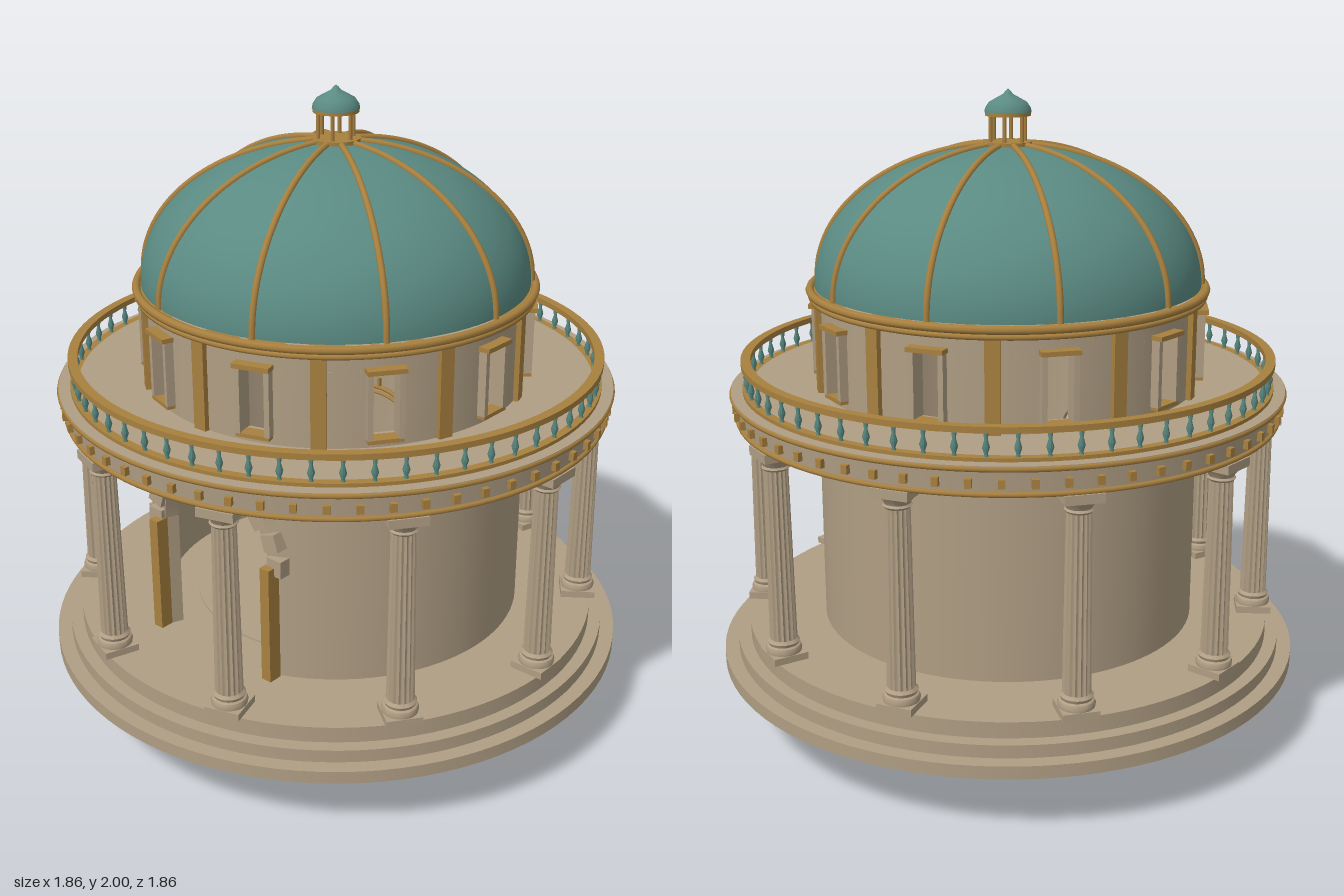
import * as THREE from 'three';
import { toCreasedNormals } from 'three/addons/utils/BufferGeometryUtils.js';

const paint = (name, color, side = THREE.FrontSide) => {
  const m = new THREE.MeshStandardMaterial({ color, side });
  m.name = name;
  return m;
};

export function createModel() {
  const stone = paint('warm stone', 0xb09e84);
  const teal = paint('verdigris', 0x5a8a82, THREE.DoubleSide);
  const gold = paint('old gold', 0xa8803f);
  const slate = paint('dark slate', 0x3a424c);
  const black = paint('black', 0x1c1c1e);
  const model = new THREE.Group();
  const TAU = Math.PI * 2, deg = Math.PI / 180;

  const add = (parent, name, geo, mat, x = 0, y = 0, z = 0) => {
    const m = new THREE.Mesh(geo, mat);
    m.name = name;
    m.position.set(x, y, z);
    parent.add(m);
    return m;
  };
  const group = (name, parent = model) => {
    const g = new THREE.Group();
    g.name = name;
    parent.add(g);
    return g;
  };
  const turned = (pts, seg = 96) => toCreasedNormals(
    new THREE.LatheGeometry(pts.map(p => new THREE.Vector2(p[0], p[1])), seg), 0.6);
  const box = (w, h, d) => new THREE.BoxGeometry(w, h, d);
  const ring = (r, t, seg = 96) => new THREE.TorusGeometry(r, t, 8, seg).rotateX(Math.PI / 2);
  // Places a copy at an angle measured from the front, facing outward
  const around = (n, offset, fn) => {
    for (let i = 0; i < n; i++) fn(offset + i * TAU / n, i);
  };
  const polar = (obj, r, a, y = 0) => {
    obj.position.set(r * Math.sin(a), y, r * Math.cos(a));
    obj.rotation.y = a;
  };
  // Curved wall between two angles, with a lower edge given by a rule
  const curvedWall = (r0, r1, a0, a1, n, bottom, top) => {
    const v = [];
    const p = (r, a, y) => [r * Math.sin(a), y, r * Math.cos(a)];
    const quad = (a, b, c, d) => v.push(...a, ...b, ...c, ...a, ...c, ...d);
    for (let i = 0; i < n; i++) {
      const s = a0 + (a1 - a0) * i / n, e = a0 + (a1 - a0) * (i + 1) / n;
      const ys = bottom(s), ye = bottom(e);
      quad(p(r1, s, ys), p(r1, e, ye), p(r1, e, top), p(r1, s, top));
      quad(p(r0, e, ye), p(r0, s, ys), p(r0, s, top), p(r0, e, top));
      quad(p(r1, s, top), p(r1, e, top), p(r0, e, top), p(r0, s, top));
      quad(p(r0, s, ys), p(r0, e, ye), p(r1, e, ye), p(r1, s, ys));
    }
    const b0 = bottom(a0), b1 = bottom(a1);
    quad(p(r0, a0, b0), p(r1, a0, b0), p(r1, a0, top), p(r0, a0, top));
    quad(p(r1, a1, b1), p(r0, a1, b1), p(r0, a1, top), p(r1, a1, top));
    const g = new THREE.BufferGeometry();
    g.setAttribute('position', new THREE.Float32BufferAttribute(v, 3));
    return toCreasedNormals(g, 0.5);
  };

  // Stepped base and inner floor disc
  add(model, 'steps', turned([[0, 0.2], [0.93, 0.2], [0.93, 0.24], [0.885, 0.24], [0.885, 0.28],
    [0.845, 0.28], [0.845, 0.33], [0, 0.33]]), stone);
  add(model, 'innerFloor', turned([[0.46, 0.33], [0.46, 0.335], [0, 0.335]]), stone);

  // Shaft below the floor, open at the bottom, with a railing above
  const shaft = group('stairShaft');
  shaft.position.set(0.305, 0, -0.06);
  for (const s of [-1, 1]) {
    add(shaft, 'shaftSideWall', box(0.02, 0.2, 0.34), slate, s * 0.125, 0.1, 0);
    add(shaft, 'shaftEndWall', box(0.23, 0.2, 0.02), slate, 0, 0.1, s * 0.16);
    add(shaft, 'shaftRail', box(0.012, 0.012, 0.34), gold, s * 0.12, 0.48, 0);
    for (let i = 0; i < 5; i++)
      add(shaft, 'shaftPost', box(0.012, 0.15, 0.012), teal, s * 0.12, 0.405, -0.16 + i * 0.08);
  }
  add(shaft, 'shaftCeiling', box(0.23, 0.02, 0.3), slate, 0, 0.15, 0);
  add(shaft, 'shaftHatch', box(0.23, 0.008, 0.32), slate, 0, 0.337, 0);

  // Round hall with an arched doorway
  const R = 0.6, doorR = 0.22, spring = 0.71, da = Math.asin(doorR / R);
  const hall = group('hall');
  add(hall, 'hallWall', curvedWall(0.555, R, da, TAU - da, 88, () => 0.33, 1.09), stone);
  add(hall, 'doorHead', curvedWall(0.555, R, -da, da, 32,
    a => spring + Math.sqrt(Math.max(0, doorR ** 2 - (R * Math.sin(a)) ** 2)), 1.09), stone);
  for (const s of [-1, 1])
    add(hall, 'doorPilaster', box(0.035, 0.38, 0.045), gold, s * 0.235, 0.52, 0.573);
  for (let i = 0; i < 11; i++) {
    const t = i / 10 * Math.PI, x = 0.25 * Math.cos(t), key = i === 5;
    const b = add(hall, key ? 'keystone' : 'archStone', box(key ? 0.07 : 0.055, key ? 0.085 : 0.055, 0.06), stone,
      x, spring + 0.25 * Math.sin(t), Math.sqrt(R * R - x * x) - 0.005);
    b.rotation.z = t - Math.PI / 2;
  }

  // Fluted columns
  const flutes = new THREE.CylinderGeometry(0.036, 0.042, 0.56, 96, 1, true);
  const fp = flutes.attributes.position;
  for (let i = 0; i < fp.count; i++) {
    const a = Math.atan2(fp.getX(i), fp.getZ(i));
    const k = 1 - 0.13 * Math.abs(Math.sin(a * 8));
    fp.setX(i, fp.getX(i) * k);
    fp.setZ(i, fp.getZ(i) * k);
  }
  const fluted = toCreasedNormals(flutes, 0.7);
  const foot = turned([[0.053, 0.35], [0.055, 0.362], [0.051, 0.372], [0.045, 0.376], [0.049, 0.386], [0.041, 0.395]], 32);
  const capital = turned([[0.036, 0.935], [0.042, 0.942], [0.037, 0.948], [0.04, 0.955], [0.055, 0.975]], 32);
  const plinth = box(0.11, 0.022, 0.11), abacus = box(0.115, 0.028, 0.115);
  around(10, 18 * deg, a => {
    const c = group('column');
    add(c, 'columnPlinth', plinth, stone, 0, 0.341, 0);
    add(c, 'columnFoot', foot, stone);
    add(c, 'columnShaft', fluted, stone, 0, 0.665, 0);
    add(c, 'columnCapital', capital, stone);
    add(c, 'columnAbacus', abacus, stone, 0, 0.987, 0);
    polar(c, 0.805, a);
  });

  // Entablature and walkway
  const deck = group('entablature');
  add(deck, 'deckRing', turned([[0.58, 1.0], [0.85, 1.0], [0.855, 1.07], [0.87, 1.08], [0.87, 1.092], [0.58, 1.092]]), stone);
  add(deck, 'lowerTrim', ring(0.852, 0.008), gold, 0, 1.006, 0);
  add(deck, 'upperTrim', ring(0.866, 0.009), gold, 0, 1.083, 0);
  const dentil = box(0.02, 0.026, 0.02);
  around(60, 3 * deg, a => polar(add(deck, 'dentil', dentil, gold), 0.858, a, 1.04));

  // Balustrade
  const rail = group('balustrade');
  add(rail, 'bottomRail', turned([[0.808, 1.09], [0.834, 1.09], [0.834, 1.103], [0.808, 1.103]]), gold);
  add(rail, 'topRail', turned([[0.806, 1.172], [0.836, 1.172], [0.836, 1.19], [0.806, 1.19], [0.806, 1.172]]), gold);
  const baluster = turned([[0.008, 1.1], [0.005, 1.11], [0.011, 1.128], [0.005, 1.15], [0.008, 1.175]], 10);
  around(60, 0, a => polar(add(rail, 'baluster', baluster, teal), 0.82, a));

  // Drum with ten windows and gilded pilasters
  const drum = group('drum');
  add(drum, 'drumSill', turned([[0.55, 1.08], [0.59, 1.08], [0.59, 1.12], [0.55, 1.12]]), stone);
  add(drum, 'drumHead', turned([[0.55, 1.325], [0.59, 1.325], [0.59, 1.4], [0.55, 1.4], [0.55, 1.325]]), stone);
  const wa = 0.042 / 0.59;
  const pier = curvedWall(0.55, 0.59, -18 * deg + wa, 18 * deg - wa, 10, () => 1.12, 1.325);
  const jamb = box(0.016, 0.2, 0.055), lintel = box(0.115, 0.014, 0.05), sill = box(0.105, 0.012, 0.045);
  around(10, 0, a => {
    add(drum, 'drumPier', pier, stone).rotation.y = a;
    polar(add(drum, 'drumPilaster', box(0.045, 0.28, 0.025), gold), 0.593, a, 1.232);
    const w = group('window', drum);
    for (const s of [-1, 1]) add(w, 'windowJamb', jamb, stone, s * 0.046, 1.222, 0);
    add(w, 'windowLintel', lintel, gold, 0, 1.33, 0.012);
    add(w, 'windowSill', sill, gold, 0, 1.118, 0.005);
    polar(w, 0.587, a + 18 * deg);
  });

  // Dome, its base rings and ribs
  const dome = group('dome');
  add(dome, 'domeCornice', turned([[0.55, 1.372], [0.608, 1.372], [0.612, 1.4], [0.55, 1.4]]), gold);
  add(dome, 'lowerDomeRing', ring(0.612, 0.009), gold, 0, 1.378, 0);
  add(dome, 'upperDomeRing', ring(0.615, 0.013), gold, 0, 1.399, 0);
  const shell = new THREE.SphereGeometry(0.6, 96, 32, 0, TAU, 0, Math.PI / 2);
  add(dome, 'domeShell', shell.scale(1, 0.425 / 0.6, 1), teal, 0, 1.41, 0);
  const arc = [];
  for (let i = 0; i <= 14; i++) {
    const t = i / 14 * 83 * deg;
    arc.push(new THREE.Vector3(0, 1.41 + 0.427 * Math.sin(t), 0.602 * Math.cos(t)));
  }
  const rib = new THREE.TubeGeometry(new THREE.CatmullRomCurve3(arc), 32, 0.01, 8);
  around(10, 18 * deg, a => { add(dome, 'domeRib', rib, gold).rotation.y = a; });

  // Lantern
  const lantern = group('lantern');
  add(lantern, 'lanternBase', turned([[0.075, 1.825], [0.075, 1.843], [0, 1.843]], 32), gold);
  const post = new THREE.CylinderGeometry(0.006, 0.006, 0.09, 8);
  around(6, 30 * deg, a => polar(add(lantern, 'lanternPost', post, gold), 0.056, a, 1.88));
  add(lantern, 'lanternPlate', turned([[0, 1.92], [0.07, 1.92], [0.07, 1.93], [0, 1.93]], 32), gold);
  add(lantern, 'lanternCap', turned([[0.072, 1.93], [0.07, 1.942], [0.058, 1.96], [0.035, 1.973],
    [0.015, 1.984], [0.008, 1.993], [0, 2]], 32), teal);

  // Pedestal
  const shrine = group('shrine');
  shrine.position.z = -0.08;
  add(shrine, 'pedestalFoot', turned([[0.15, 0.335], [0.155, 0.36], [0.135, 0.37], [0, 0.37]], 48), gold);
  add(shrine, 'pedestalDrum', turned([[0.135, 0.365], [0.135, 0.475]], 48), slate);
  add(shrine, 'pedestalTop', turned([[0.13, 0.472], [0.157, 0.48], [0.157, 0.495], [0, 0.495]], 48), gold);
  const stud = new THREE.OctahedronGeometry(0.014);
  around(12, 15 * deg, a => polar(add(shrine, 'pedestalStud', stud, gold), 0.133, a, 0.425));

  // Halo behind the statue
  const halo = group('halo', shrine);
  halo.position.set(0, 0.765, -0.14);
  add(halo, 'haloOuter', new THREE.TorusGeometry(0.198, 0.007, 8, 64), gold);
  add(halo, 'haloInner', new THREE.TorusGeometry(0.178, 0.005, 8, 64), gold);
  around(16, 0, a => {
    const ray = add(halo, 'haloRay', box(0.01, 0.04, 0.01), gold, 0.212 * Math.sin(a), 0.212 * Math.cos(a), 0);
    ray.rotation.z = -a;
  });

  // Seated cat statue
  const cat = group('catStatue', shrine);
  const sphere = new THREE.SphereGeometry(1, 24, 16);
  const ball = (name, mat, x, y, z, sx, sy, sz) => {
    const m = add(cat, name, sphere, mat, x, y, z);
    m.scale.set(sx, sy, sz);
    return m;
  };
  ball('body', teal, 0, 0.62, -0.01, 0.085, 0.13, 0.08);
  ball('chest', teal, 0, 0.69, 0.025, 0.075, 0.075, 0.06);
  ball('head', teal, 0, 0.815, 0.04, 0.085, 0.07, 0.07);
  ball('muzzle', teal, 0, 0.79, 0.095, 0.045, 0.028, 0.03);
  ball('nose', black, 0, 0.807, 0.122, 0.012, 0.008, 0.008);
  ball('mouth', black, 0, 0.775, 0.112, 0.04, 0.004, 0.012);
  add(cat, 'collar', ring(0.062, 0.007, 32), gold, 0, 0.745, 0.03);
  ball('medallion', gold, 0, 0.705, 0.086, 0.017, 0.017, 0.008);
  for (const s of [-1, 1]) {
    ball('haunch', teal, s * 0.09, 0.56, -0.01, 0.05, 0.065, 0.075);
    ball('frontLeg', teal, s * 0.045, 0.6, 0.06, 0.03, 0.1, 0.03);
    ball('paw', teal, s * 0.05, 0.518, 0.085, 0.034, 0.024, 0.04);
    ball('eye', gold, s * 0.037, 0.835, 0.098, 0.02, 0.011, 0.01);
    ball('pupil', black, s * 0.037, 0.835, 0.107, 0.004, 0.009, 0.003);
    const ear = add(cat, 'ear', new THREE.ConeGeometry(0.03, 0.08, 12), teal, s * 0.066, 0.885, 0.03);
    ear.rotation.z = -s * 0.25;
    const tuft = add(cat, 'cheekTuft', new THREE.ConeGeometry(0.032, 0.09, 10), teal, s * 0.092, 0.785, 0.045);
    tuft.rotation.z = -s * 1.95;
    add(cat, 'brow', box(0.045, 0.007, 0.009), gold, s * 0.04, 0.855, 0.092).rotation.z = s * 0.35;
  }
  return model;
}
